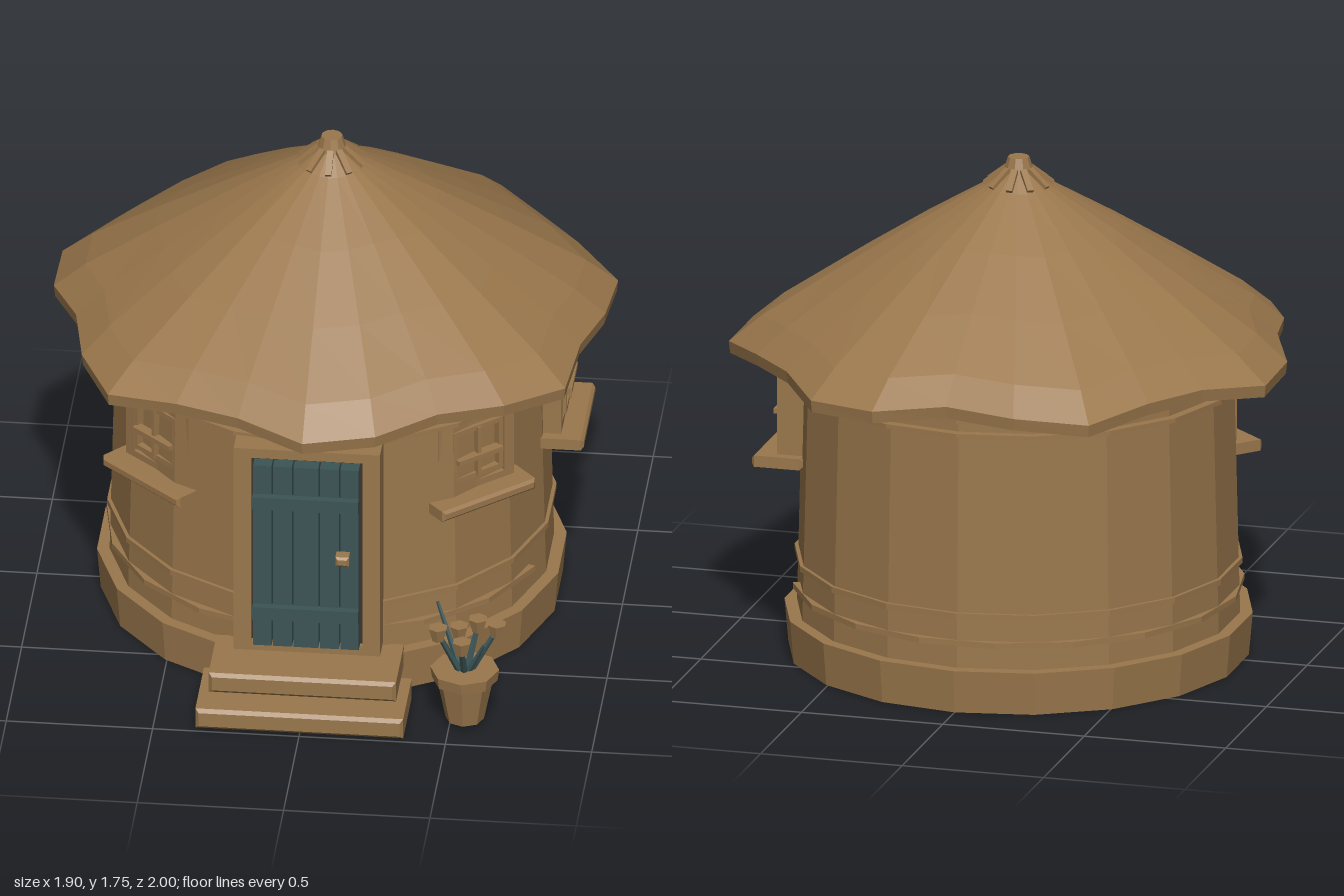
import * as THREE from 'three';

const CZ = -0.07; // centre of the round house along z
const SIDES = 18;

const mat = (name, color, extra = {}) => {
  const m = new THREE.MeshStandardMaterial({ color, ...extra });
  m.name = name;
  return m;
};

export function createModel() {
  const clay = mat('clay brown', 0x9a774c);
  const teal = mat('dark teal', 0x3c5556);
  const dark = mat('shadow brown', 0x3d342b);
  const root = new THREE.Group();
  root.name = 'roundHut';

  // Adds a flat-shaded mesh
  const add = (parent, name, geo, material, x = 0, y = 0, z = 0) => {
    const g = geo.index ? geo.toNonIndexed() : geo;
    g.computeVertexNormals();
    const m = new THREE.Mesh(g, material);
    m.name = name;
    m.position.set(x, y, z);
    parent.add(m);
    return m;
  };
  const box = (w, h, d) => new THREE.BoxGeometry(w, h, d);
  const rect = (T, w, h) => {
    const s = new T();
    s.moveTo(-w / 2, -h / 2);
    s.lineTo(w / 2, -h / 2);
    s.lineTo(w / 2, h / 2);
    s.lineTo(-w / 2, h / 2);
    s.closePath();
    return s;
  };
  // Box with chamfered edges, centred on its origin
  const chamferBox = (w, h, d, b = 0.012) =>
    new THREE.ExtrudeGeometry(rect(THREE.Shape, w - 2 * b, h - 2 * b), {
      depth: d - 2 * b, bevelEnabled: true, bevelSize: b, bevelThickness: b, bevelSegments: 1,
    }).translate(0, 0, b - d / 2);
  // Rectangular frame whose front lies at z = 0
  const frame = (w, h, iw, ih, d) => {
    const s = rect(THREE.Shape, w, h);
    s.holes.push(rect(THREE.Path, iw, ih));
    return new THREE.ExtrudeGeometry(s, { depth: d, bevelEnabled: false }).translate(0, 0, -d);
  };
  // Cylinder standing between two heights
  const drum = (rTop, rBottom, y0, y1, sides = SIDES, start = 0, length = Math.PI * 2) =>
    new THREE.CylinderGeometry(rTop, rBottom, y1 - y0, sides, 1, false, start, length)
      .translate(0, (y0 + y1) / 2, 0);

  // House body
  const body = new THREE.Group();
  body.name = 'body';
  body.position.z = CZ;
  root.add(body);
  add(body, 'plinth', drum(0.8, 0.787, 0, 0.15), clay);
  add(body, 'wall', drum(0.733, 0.757, 0.15, 1.14), clay);
  add(body, 'upperWallBand', drum(0.765, 0.765, 0.325, 0.345), clay);
  const deg = Math.PI / 180;
  add(body, 'lowerWallBand', drum(0.769, 0.769, 0.227, 0.247, 16, 110 * deg, 320 * deg), clay);
  add(body, 'lowerEaveRing', drum(0.768, 0.768, 0.967, 0.983), clay);
  add(body, 'upperEaveRing', drum(0.77, 0.77, 1.02, 1.04), clay);

  // Thatched roof with an uneven rim, one radius per 15 degrees from the front
  const rim = [0.965, 0.94, 0.885, 0.93, 0.98, 0.905, 0.935, 0.985, 0.915, 0.9, 0.98, 0.965,
    0.89, 0.94, 0.99, 0.91, 0.9, 0.98, 0.95, 0.88, 0.93, 0.98, 0.9, 0.89];
  // Profile: base radius, height, how strongly the rim variation applies
  const profile = [[0.03, 1.71, 0], [0.12, 1.645, 0.05], [0.36, 1.5, 0.25], [0.6, 1.345, 0.5],
    [0.83, 1.19, 0.85], [0.935, 1.1, 1], [0.93, 1.058, 1], [0.7, 1.125, 0]];
  const pos = [], idx = [], n = rim.length;
  profile.forEach(([r, y, k], j) => rim.forEach((v, i) => {
    const a = (i / n) * Math.PI * 2, dr = (v - 0.935) * k;
    pos.push((r + dr) * Math.sin(a), y - dr * 0.35, (r + dr) * Math.cos(a));
    if (j === profile.length - 1) return;
    const p = j * n + i, q = j * n + ((i + 1) % n);
    idx.push(p, p + n, q + n, p, q + n, q);
  }));
  const roofGeo = new THREE.BufferGeometry();
  roofGeo.setAttribute('position', new THREE.Float32BufferAttribute(pos, 3));
  roofGeo.setIndex(idx);
  const roof = new THREE.Group();
  roof.name = 'roof';
  roof.position.z = CZ;
  root.add(roof);
  add(roof, 'thatch', roofGeo, clay);
  add(roof, 'roofCap', drum(0.036, 0.06, 1.67, 1.745, 10), clay);
  for (let i = 0; i < 10; i++) {
    const arm = new THREE.Group();
    arm.name = 'capRib';
    arm.rotation.y = (i / 10) * Math.PI * 2;
    roof.add(arm);
    add(arm, 'rib', box(0.022, 0.025, 0.09), clay, 0, 1.675, 0.078).rotation.x = 0.65;
  }

  // Windows: facing angle, then the frame centre relative to the house axis
  const addWindow = (name, angle, x, z) => {
    const w = new THREE.Group();
    w.name = name;
    w.position.set(x, 0.817, z + CZ);
    w.rotation.y = angle;
    root.add(w);
    add(w, 'frame', frame(0.315, 0.275, 0.235, 0.225, 0.14), clay);
    add(w, 'recess', box(0.25, 0.24, 0.01), dark, 0, 0, -0.06);
    add(w, 'pane', box(0.19, 0.165, 0.01), clay, 0, 0.012, -0.052);
    add(w, 'sash', frame(0.205, 0.2, 0.175, 0.165, 0.045), clay, 0, 0.01, 0.012);
    add(w, 'uprightBar', box(0.014, 0.19, 0.03), clay, 0, 0.01, 0.005);
    add(w, 'crossBar', box(0.185, 0.018, 0.036), clay, 0, -0.005, 0.012);
    add(w, 'sill', chamferBox(0.39, 0.04, 0.18, 0.01), clay, 0, -0.157, -0.01);
  };
  addWindow('leftFrontWindow', 42 * deg, 0.545, 0.49);
  addWindow('rightFrontWindow', -42 * deg, -0.545, 0.49);
  addWindow('leftSideWindow', 90 * deg, 0.795, -0.05);

  // Door and its frame
  const door = new THREE.Group();
  door.name = 'door';
  root.add(door);
  add(door, 'doorFrame', frame(0.5, 0.79, 0.38, 0.72, 0.13), clay, 0, 0.577, 0.745);
  add(door, 'doorGap', box(0.39, 0.73, 0.02), dark, 0, 0.577, 0.715);
  const edges = [-0.183, -0.115, -0.045, 0.045, 0.115, 0.183];
  for (let i = 0; i < 5; i++) {
    const wide = edges[i + 1] - edges[i] - 0.005;
    add(door, 'plank', box(wide, 0.705, 0.07), teal, (edges[i] + edges[i + 1]) / 2, 0.572, 0.74);
  }
  for (const y of [0.358, 0.79]) add(door, 'batten', box(0.362, 0.048, 0.03), teal, 0, y, 0.785);
  add(door, 'doorHandle', chamferBox(0.046, 0.036, 0.055, 0.008), clay, 0.128, 0.588, 0.797);

  // Doorsteps
  add(root, 'lowerStep', chamferBox(0.71, 0.075, 0.3), clay, 0, 0.045, 0.85);
  add(root, 'upperStep', chamferBox(0.64, 0.075, 0.28), clay, 0, 0.13, 0.76);

  // Flowerpot
  const pot = new THREE.Group();
  pot.name = 'flowerpot';
  pot.position.set(0.55, 0, 0.845);
  root.add(pot);
  add(pot, 'potBody', drum(0.098, 0.066, 0.02, 0.18, 8), clay);
  add(pot, 'potRim', drum(0.118, 0.112, 0.172, 0.213, 8), clay);

  // Stems run from the soil to each tip; blooms sit on some of them
  const up = new THREE.Vector3(0, 1, 0);
  const stems = [[0.11, 0.37, 0, 1], [0, 0.345, 0.09, 1], [-0.085, 0.375, 0.055, 1],
    [0.04, 0.355, -0.055, 1], [-0.02, 0.35, -0.01, 1], [-0.1, 0.425, -0.075, 0], [0.07, 0.33, 0.04, 0]];
  for (const [x, y, z, bloom] of stems) {
    const a = new THREE.Vector3(x * 0.15, 0.2, z * 0.15), b = new THREE.Vector3(x, y, z);
    const d = b.clone().sub(a), len = d.length();
    const stem = add(pot, 'stem', new THREE.CylinderGeometry(bloom ? 0.009 : 0.006, 0.013, len, 5), teal);
    stem.position.copy(a).add(b).multiplyScalar(0.5);
    stem.quaternion.setFromUnitVectors(up, d.normalize());
    if (bloom) add(pot, 'bloom', new THREE.CylinderGeometry(0.034, 0.021, 0.05, 6), clay, x, y, z);
  }
  return root;
}
